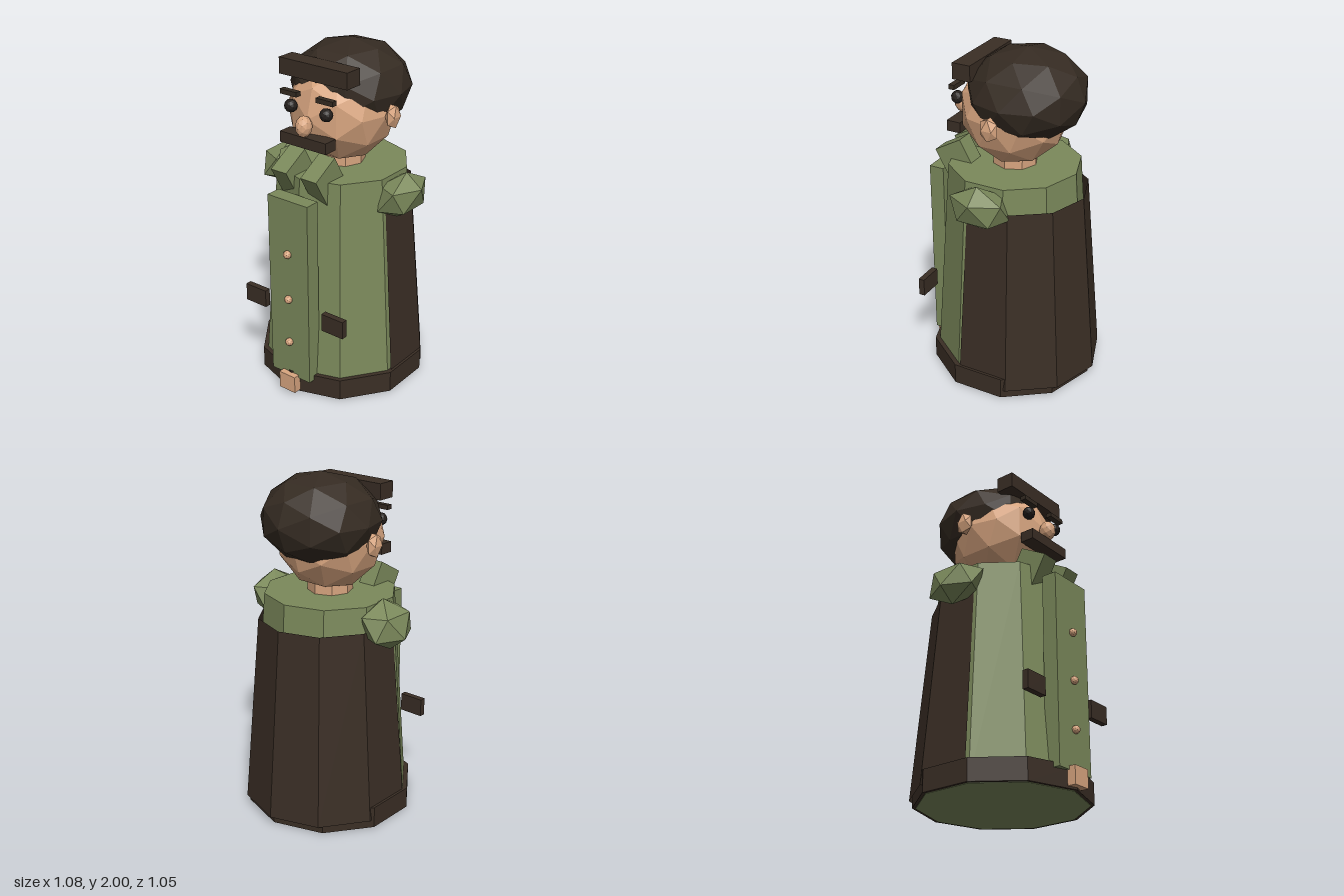
import * as THREE from 'three';

const mat = (name, color, double) => {
  const m = new THREE.MeshStandardMaterial({ color, flatShading: true });
  m.name = name;
  if (double) m.side = THREE.DoubleSide;
  return m;
};

export function createModel() {
  const root = new THREE.Group();
  root.name = 'coatedFigure';
  const green = mat('coatGreen', 0x7b895b);
  const brown = mat('darkBrown', 0x3a2e25, true);
  const hairMat = mat('hairBrown', 0x352b22);
  const skin = mat('skin', 0xd9a680);
  const eyeMat = mat('eyeBlack', 0x241f1c);

  const add = (name, geo, m, x = 0, y = 0, z = 0) => {
    const mesh = new THREE.Mesh(geo, m);
    mesh.name = name;
    mesh.position.set(x, y, z);
    root.add(mesh);
    return mesh;
  };
  // Box given by its half width at x, and its y and z ranges
  const box = (name, m, x, w, y0, y1, z0, z1) =>
    add(name, new THREE.BoxGeometry(w, y1 - y0, z1 - z0), m, x, (y0 + y1) / 2, (z0 + z1) / 2);
  // Faceted ellipsoid
  const blob = (name, m, detail, x, y, z, rx, ry, rz) => {
    const mesh = add(name, new THREE.IcosahedronGeometry(1, detail), m, x, y, z);
    mesh.scale.set(rx, ry, rz);
    return mesh;
  };

  // Coat body and hem band
  add('coatBody', new THREE.CylinderGeometry(0.38, 0.475, 1.31, 10), green, 0, 0.655, 0);
  add('hemBand', new THREE.CylinderGeometry(0.494, 0.494, 0.127, 10), brown, 0, 0.0665, 0);

  // Cape wrapped around the back
  const cape = add('cape',
    new THREE.CylinderGeometry(0.405, 0.5, 1.12, 6, 1, true, Math.PI * 0.4, Math.PI * 1.2),
    brown, 0, 0.61, -0.025);
  cape.scale.x = 0.97;

  // Front placket, buttons and tab
  box('placket', green, 0, 0.278, 0.1, 1.22, 0.398, 0.488);
  for (const y of [0.33, 0.61, 0.895]) blob('button', skin, 1, 0, y, 0.497, 0.024, 0.024, 0.024);
  box('hemTab', skin, 0, 0.114, 0.015, 0.12, 0.46, 0.525);

  // Head, neck, nose and hair
  add('neck', new THREE.CylinderGeometry(0.13, 0.13, 0.2, 8), skin, 0, 1.35, 0);
  blob('head', skin, 1, 0, 1.63, 0, 0.303, 0.31, 0.31);
  blob('nose', skin, 1, 0, 1.6, 0.337, 0.046, 0.062, 0.05);
  blob('hair', hairMat, 1, 0, 1.74, -0.078, 0.34, 0.26, 0.342);
  box('fringe', brown, 0, 0.464, 1.83, 1.923, 0.15, 0.26);
  box('moustache', brown, 0, 0.316, 1.48, 1.543, 0.265, 0.35);

  // Paired parts
  for (const s of [-1, 1]) {
    blob('eye', eyeMat, 1, s * 0.122, 1.68, 0.297, 0.038, 0.038, 0.036);
    box('eyebrow', hairMat, s * 0.123, 0.115, 1.743, 1.77, 0.282, 0.317);
    blob('ear', skin, 0, s * 0.33, 1.63, -0.017, 0.037, 0.075, 0.058);
    box('pocketFlap', brown, s * 0.281, 0.148, 0.467, 0.573, 0.423, 0.459);
    const lapel = add('collarFlap', new THREE.BoxGeometry(0.108, 0.2, 0.186), green, s * 0.104, 1.305, 0.302);
    lapel.rotation.x = 0.52;
    const shoulder = blob('shoulder', green, 0, s * 0.412, 1.197, 0, 0.122, 0.151, 0.185);
    shoulder.rotation.z = -0.663;
  }
  return root;
}
